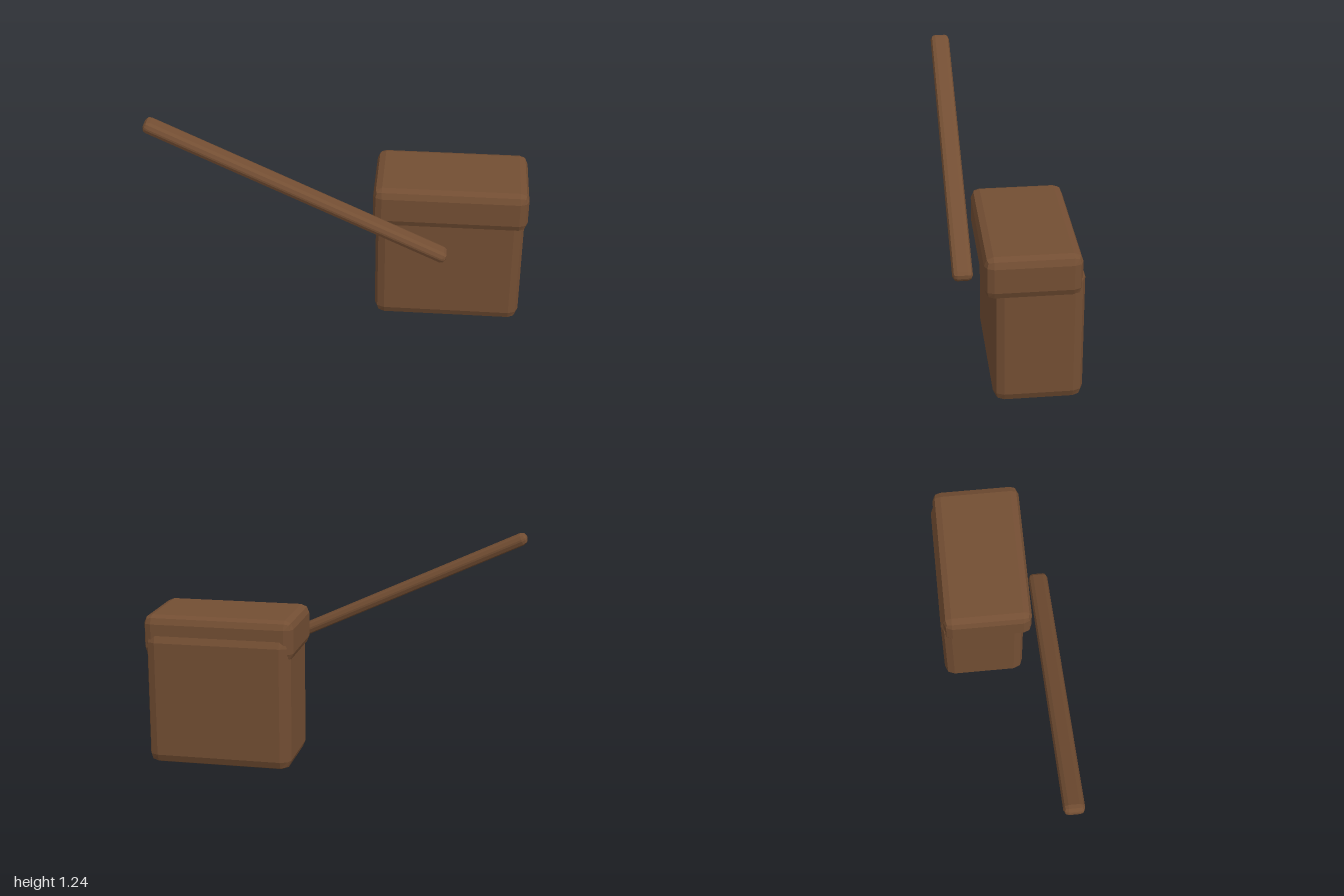
import * as THREE from 'three';
import { RoundedBoxGeometry } from 'three/addons/geometries/RoundedBoxGeometry.js';

const leather = new THREE.MeshStandardMaterial({ color: 0x734e33 });
leather.name = 'brown leather';

// Box with a two-step bevel and faceted normals, spanning min to max
function bevelledBox(name, min, max, bevel) {
  const size = max.map((v, i) => v - min[i]);
  let geometry = new RoundedBoxGeometry(...size, 1, bevel);
  if (geometry.index) geometry = geometry.toNonIndexed();
  geometry.computeVertexNormals();
  const mesh = new THREE.Mesh(geometry, leather);
  mesh.name = name;
  mesh.position.set(...max.map((v, i) => (v + min[i]) / 2));
  return mesh;
}

export function createModel() {
  const bag = new THREE.Group();
  bag.name = 'satchel';

  // Pouch and the slightly wider flap capping it
  bag.add(bevelledBox('pouch', [0.192, 0, -0.31], [0.982, 0.735, 0.142], 0.054));
  bag.add(bevelledBox('flap', [0.178, 0.602, -0.295], [0.996, 0.825, 0.184], 0.046));

  // Slanted strap in front of the pouch
  const strap = bevelledBox('strap', [-0.862, -0.031, -0.053], [0.862, 0.031, 0.053], 0.026);
  strap.position.set(-0.207, 0.855, 0.257);
  strap.rotation.z = -0.437;
  bag.add(strap);

  return bag;
}
